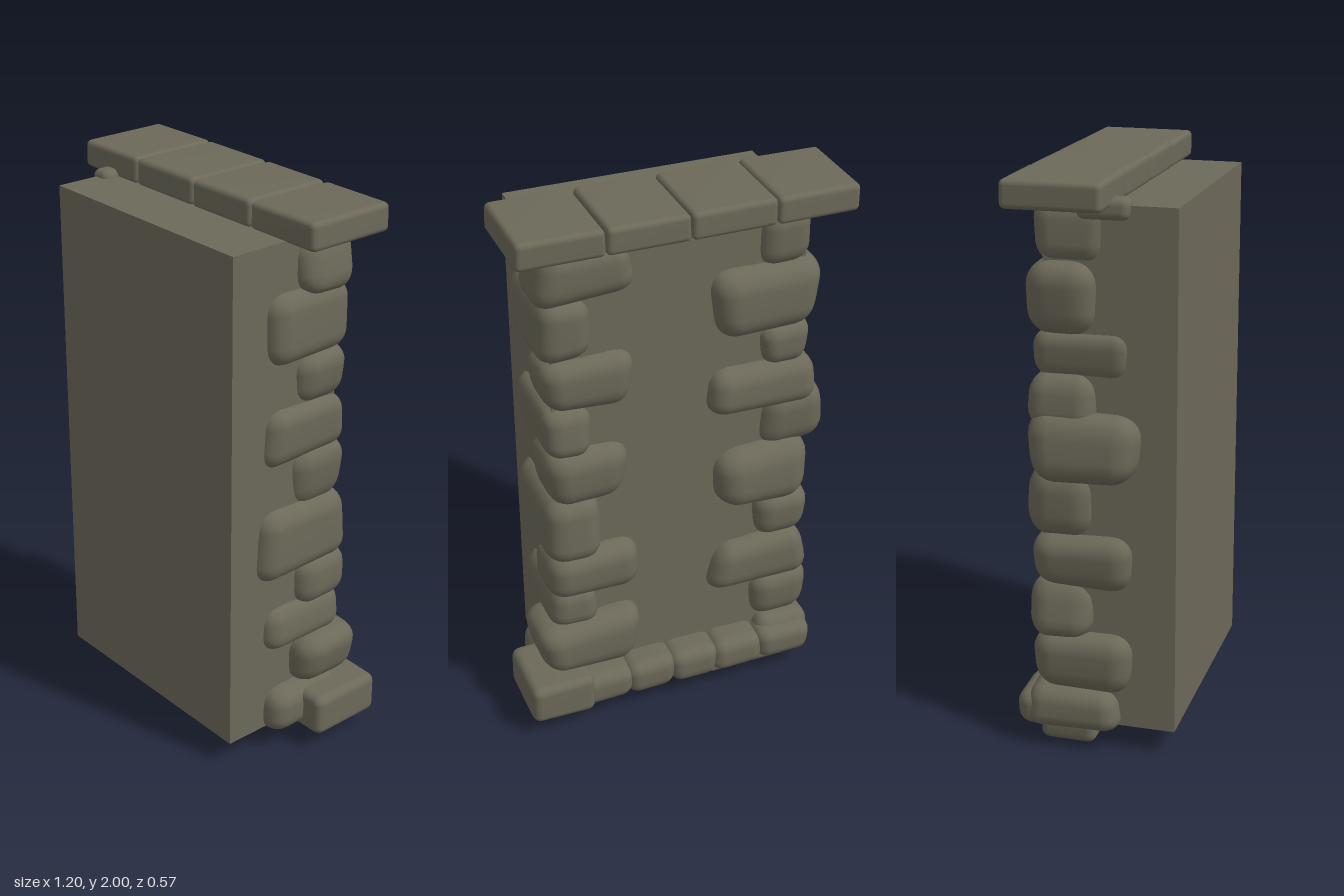
import * as THREE from 'three';
import { RoundedBoxGeometry } from 'three/addons/geometries/RoundedBoxGeometry.js';
import { mergeVertices } from 'three/addons/utils/BufferGeometryUtils.js';

const stoneMat = new THREE.MeshStandardMaterial({ color: 0x6c6959 });
stoneMat.name = 'weathered stone';

let seed = 7;
const rnd = () => (seed = (seed * 16807) % 2147483647) / 2147483647;

// A rounded block, skewed and bulged a little so no two look alike.
function stone(name, [x0, x1], [y0, y1], [z0, z1], wobble = 1) {
  const w = x1 - x0, h = y1 - y0, d = z1 - z0;
  const round = Math.min(w, h, d) * (wobble < 0.5 ? 0.2 : 0.36);
  let g = new RoundedBoxGeometry(w, h, d, 3, round);
  g.deleteAttribute('normal');
  g.deleteAttribute('uv');
  g = mergeVertices(g, 1e-4);
  const k = Array.from({ length: 6 }, () => (rnd() - 0.5) * 0.24 * wobble);
  const p = g.attributes.position;
  for (let i = 0; i < p.count; i++) {
    const u = (2 * p.getX(i)) / w, v = (2 * p.getY(i)) / h, t = (2 * p.getZ(i)) / d;
    p.setXYZ(i,
      (w / 2) * u * (1 - Math.abs(k[0]) + k[0] * v),
      (h / 2) * v * (1 - Math.abs(k[1]) * 0.4 + k[1] * u + k[2] * t * 0.6) + k[3] * u * h * 0.25,
      (d / 2) * t * (1 - Math.abs(k[4]) * 0.4 + k[4] * 0.5 * v + k[5] * 0.3 * u));
  }
  g.computeVertexNormals();
  const m = new THREE.Mesh(g, stoneMat);
  m.name = name;
  m.position.set((x0 + x1) / 2, (y0 + y1) / 2, (z0 + z1) / 2);
  return m;
}

// Corner stones: [bottom, top, outer x, inner x, back z, front z]
const leftCorner = [
  [1.71, 1.92, 0.52, 0.14, -0.22, 0.02],
  [1.49, 1.74, 0.5, 0.3, -0.21, 0.145],
  [1.3, 1.51, 0.5, 0.15, -0.215, 0.02],
  [1.12, 1.33, 0.49, 0.31, -0.215, 0.155],
  [0.92, 1.16, 0.5, 0.17, -0.225, 0.03],
  [0.69, 0.97, 0.5, 0.29, -0.235, 0.18],
  [0.53, 0.74, 0.5, 0.15, -0.235, 0.0],
  [0.4, 0.58, 0.5, 0.3, -0.215, 0.14],
  [0.21, 0.44, 0.56, 0.14, -0.255, 0.01],
  [0.06, 0.25, 0.52, 0.3, -0.2, 0.13],
];
const rightCorner = [
  [1.7, 1.92, -0.48, -0.28, -0.21, 0.06],
  [1.46, 1.73, -0.53, -0.1, -0.23, 0.02],
  [1.32, 1.49, -0.49, -0.29, -0.21, 0.13],
  [1.16, 1.35, -0.52, -0.1, -0.23, 0.02],
  [0.98, 1.22, -0.57, -0.29, -0.22, 0.17],
  [0.76, 1.02, -0.5, -0.13, -0.25, 0.02],
  [0.58, 0.8, -0.52, -0.28, -0.22, 0.14],
  [0.4, 0.61, -0.53, -0.1, -0.23, 0.0],
  [0.21, 0.43, -0.53, -0.28, -0.22, 0.14],
  [0.06, 0.23, -0.53, -0.3, -0.25, 0.1],
];

export function createModel() {
  const model = new THREE.Group();
  model.name = 'stoneFramedWall';

  // Plain wall slab
  const slab = new THREE.Mesh(new THREE.BoxGeometry(0.91, 1.82, 0.45), stoneMat);
  slab.name = 'wallSlab';
  slab.position.set(-0.005, 1.0, 0.06);
  model.add(slab);

  // Stacked quoins wrapping both back corners
  for (const [name, rows] of [['leftCorner', leftCorner], ['rightCorner', rightCorner]]) {
    const group = new THREE.Group();
    group.name = name;
    for (const [y0, y1, xo, xi, z0, z1] of rows) {
      group.add(stone('cornerStone', [Math.min(xo, xi), Math.max(xo, xi)], [y0, y1], [z0, z1]));
    }
    model.add(group);
  }

  // Four coping stones on top
  const coping = new THREE.Group();
  coping.name = 'coping';
  const cuts = [-0.6, -0.306, -0.008, 0.28, 0.58];
  for (let i = 0; i < 4; i++) {
    coping.add(stone('copingStone', [cuts[i], cuts[i + 1]], [1.903, 2], [-0.265, 0.073], 0.12));
  }
  model.add(coping);

  // Row of footing stones along the back
  const footing = new THREE.Group();
  footing.name = 'footing';
  const feet = [-0.52, -0.32, -0.14, 0.03, 0.2, 0.38];
  feet.forEach((x, i) => {
    const end = (feet[i + 1] ?? 0.4) + 0.03;
    footing.add(stone('footingStone', [x, end], [0.06, 0.2], [-0.275, -0.06], 0.6));
  });
  footing.add(stone('cornerFootingStone', [0.36, 0.6], [0.06, 0.22], [-0.285, 0.0], 0.4));
  footing.add(stone('bottomStone', [-0.48, -0.1], [0, 0.09], [-0.2, 0.0], 0.5));
  model.add(footing);

  // Small chip wedged under the coping
  model.add(stone('wedgeStone', [-0.49, -0.405], [1.86, 1.935], [-0.05, 0.13], 0.6));
  return model;
}
